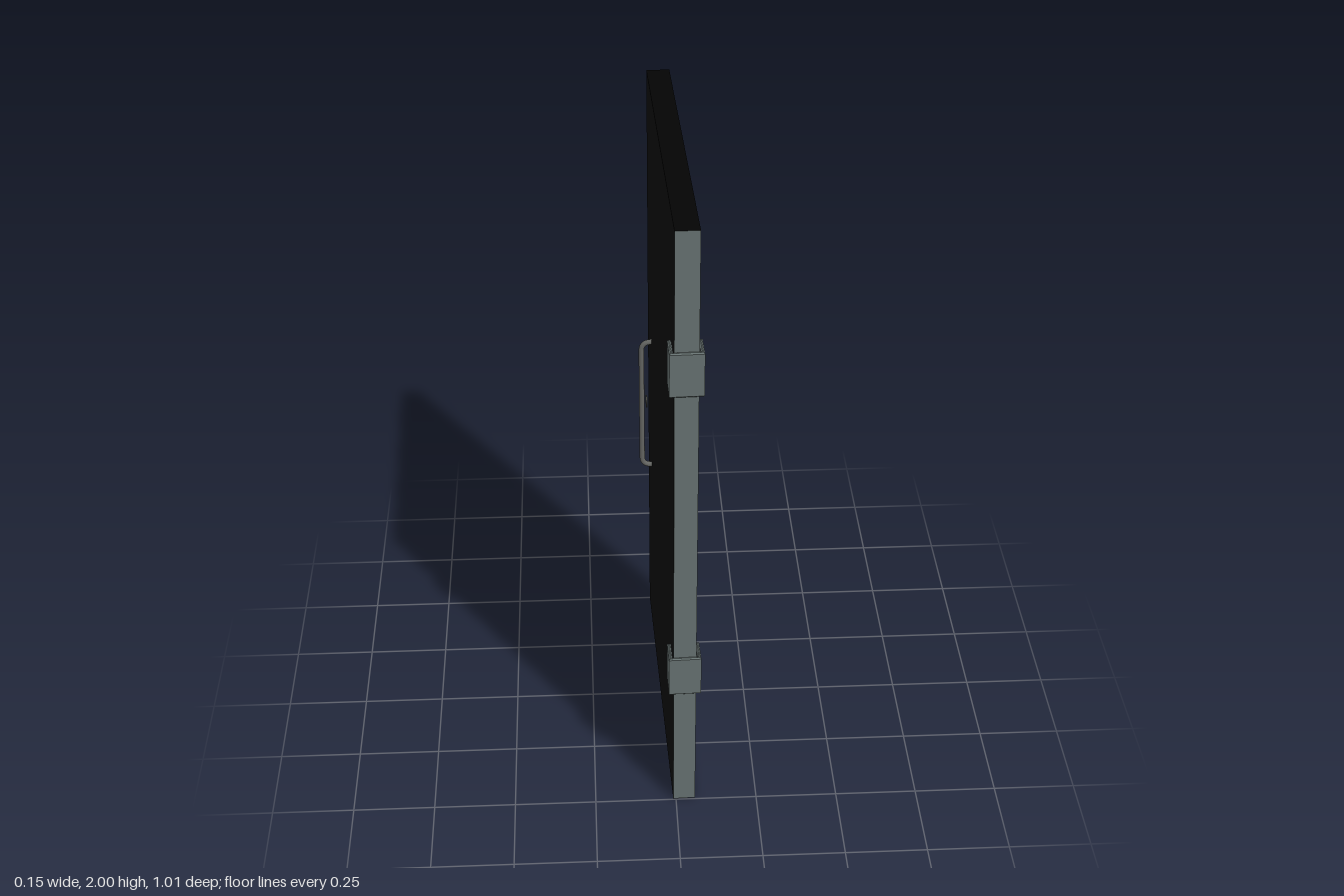
import * as THREE from 'three';

const mat = (name, color, side = THREE.FrontSide) => {
  const m = new THREE.MeshStandardMaterial({ color, side });
  m.name = name;
  return m;
};

export function createModel() {
  const panelBlack = mat('panelBlack', 0x0e0e0e);
  const edgeBlack = mat('edgeBlack', 0x040404);
  const steel = mat('steelGrey', 0x667170);
  const handleMetal = mat('handleMetal', 0x636461);

  const model = new THREE.Group();
  model.name = 'door';
  // the whole door stands slightly ajar
  const leaf = new THREE.Group();
  leaf.name = 'doorLeaf';
  leaf.rotation.y = 0.033;
  leaf.position.x = 0.009;
  model.add(leaf);

  const add = (name, geometry, material, x = 0, y = 0, z = 0) => {
    const mesh = new THREE.Mesh(geometry, material);
    mesh.name = name;
    mesh.position.set(x, y, z);
    leaf.add(mesh);
    return mesh;
  };

  // slab with a grey hinge-side edge
  add('panel', new THREE.BoxGeometry(0.068, 2, 1.001),
    [panelBlack, panelBlack, edgeBlack, edgeBlack, steel, edgeBlack], 0, 1, -0.0045);

  // U-shaped hinge clips wrapped around the front edge (shape y is -z)
  const clip = new THREE.Shape([
    [-0.048, -0.506], [0.048, -0.506], [0.048, -0.43], [0.037, -0.43],
    [0.037, -0.495], [-0.037, -0.495], [-0.037, -0.43], [-0.048, -0.43],
  ].map(([x, y]) => new THREE.Vector2(x, y)));
  const clipGeometry = new THREE.ExtrudeGeometry(clip, {
    depth: 0.132, bevelEnabled: true, bevelThickness: 0.004,
    bevelSize: 0.004, bevelOffset: -0.004, bevelSegments: 1,
  });
  clipGeometry.rotateX(-Math.PI / 2).translate(0, -0.066, 0);
  add('upperHinge', clipGeometry, steel, 0, 1.568, 0);
  add('lowerHinge', clipGeometry, steel, 0, 0.508, 0);

  for (const side of [-1, 1]) {
    const label = side > 0 ? 'left' : 'right';

    // pull handle: upright bar with rounded returns into the slab
    const inX = side * 0.03, outX = side * 0.066, bend = 0.03;
    const low = 0.678, high = 1.147;
    const v = (x, y) => new THREE.Vector3(x, y, 0);
    const path = new THREE.CurvePath();
    const lowA = v(outX - side * bend, low), lowB = v(outX, low + bend);
    const highA = v(outX, high - bend), highB = v(outX - side * bend, high);
    path.add(new THREE.LineCurve3(v(inX, low), lowA));
    path.add(new THREE.QuadraticBezierCurve3(lowA, v(outX, low), lowB));
    path.add(new THREE.LineCurve3(lowB, highA));
    path.add(new THREE.QuadraticBezierCurve3(highA, v(outX, high), highB));
    path.add(new THREE.LineCurve3(highB, v(inX, high)));
    const tube = new THREE.TubeGeometry(path, 120, 0.0085, 12, false);
    add(label + 'Handle', tube, handleMetal, 0, 0, -0.358);

    // thin lock disc
    const disc = new THREE.CylinderGeometry(0.02, 0.02, 0.004, 24);
    disc.rotateZ(Math.PI / 2);
    add(label + 'LockDisc', disc, handleMetal, side * 0.0445, 0.867, -0.445);
  }
  return model;
}
